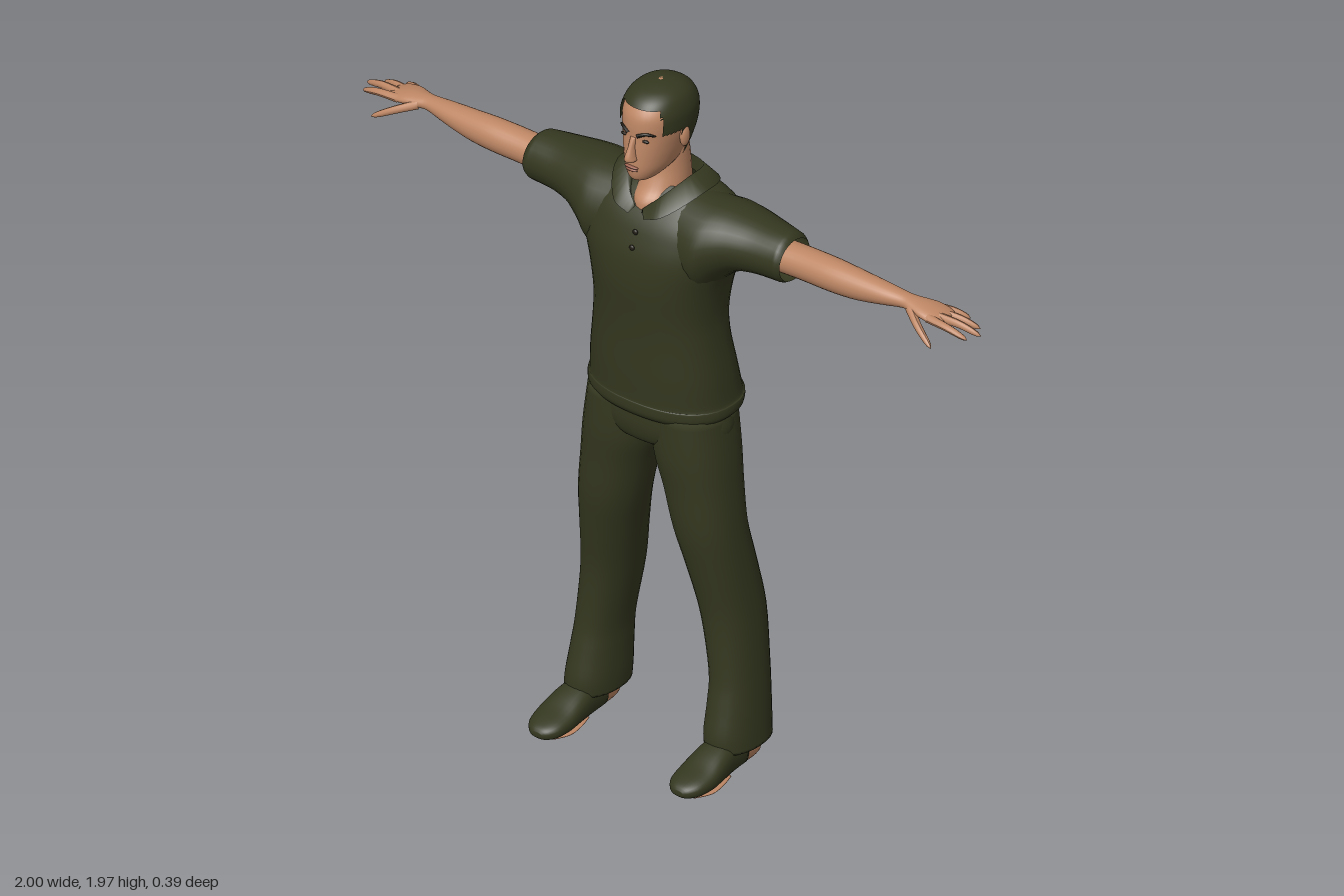
import * as THREE from 'three';

const mat = (name, color, side = THREE.FrontSide) =>
  Object.assign(new THREE.MeshStandardMaterial({ color, side }), { name });

// Smooth skin over elliptical sections. Row: [t, aMin, aMax, bMin, bMax].
// Axis y: a = x, b = z. Axis x: a = y, b = z. Axis z: a = x, b = y.
function loft(axis, rows, { n = 28, sub = 4, power = 2, start = true, end = true, grow = 0, keep = null } = {}) {
  const pos = [], index = [], rings = (rows.length - 1) * sub + 1;
  const put = (t, a, b) => pos.push(...(axis === 'y' ? [a, t, b] : axis === 'x' ? [t, a, b] : [a, b, t]));
  const sample = (k) => {
    const i = Math.min(Math.floor(k / sub), rows.length - 2), u = k / sub - i;
    const at = (m) => rows[Math.max(0, Math.min(rows.length - 1, m))];
    return rows[0].map((_, c) => {
      const [p, q, r, s] = [at(i - 1)[c], at(i)[c], at(i + 1)[c], at(i + 2)[c]];
      return q + 0.5 * u * (r - p + u * (2 * p - 5 * q + 4 * r - s + u * (3 * (q - r) + s - p)));
    });
  };
  const bend = (v) => Math.sign(v) * Math.abs(v) ** (2 / power);
  for (let k = 0; k < rings; k++) {
    const [t, a0, a1, b0, b1] = sample(k);
    for (let j = 0; j < n; j++) {
      const th = (j / n) * Math.PI * 2;
      put(t, (a0 + a1) / 2 + ((a1 - a0) / 2 + grow) * bend(Math.cos(th)),
        (b0 + b1) / 2 + ((b1 - b0) / 2 + grow) * bend(Math.sin(th)));
    }
  }
  const mid = (r) => put(r[0], (r[1] + r[2]) / 2, (r[3] + r[4]) / 2);
  mid(rows[0]);
  mid(rows[rows.length - 1]);
  const tri = (a, b, c) => {
    if (keep) {
      const m = [0, 1, 2].map((q) => (pos[a * 3 + q] + pos[b * 3 + q] + pos[c * 3 + q]) / 3);
      if (!keep(...m)) return;
    }
    index.push(...(axis === 'y' ? [a, b, c] : [a, c, b]));
  };
  for (let j = 0; j < n; j++) {
    const j2 = (j + 1) % n, last = (rings - 1) * n;
    for (let k = 0; k < rings - 1; k++) {
      const a = k * n + j, d = k * n + j2;
      tri(a, a + n, d);
      tri(a + n, d + n, d);
    }
    if (start) tri(rings * n, j, j2);
    if (end) tri(rings * n + 1, last + j2, last + j);
  }
  return finish(pos, index);
}

function finish(pos, index) {
  const g = new THREE.BufferGeometry();
  g.setAttribute('position', new THREE.Float32BufferAttribute(pos, 3));
  g.setIndex(index);
  g.computeVertexNormals();
  return g;
}

// Rows symmetric about x = 0: [y, halfWidth, front, back]
const sym = (rows) => rows.map(([y, r, f, b]) => [y, -r, r, b, f]);

// Round tapered tube, closed to a rounded tip
function taper(points, r0, r1) {
  const curve = new THREE.CatmullRomCurve3(points.map((p) => new THREE.Vector3(...p)));
  const seg = 12, sides = 10, g = new THREE.TubeGeometry(curve, seg, 1, sides);
  const p = g.attributes.position, v = new THREE.Vector3();
  for (let i = 0; i < p.count; i++) {
    const u = Math.floor(i / (sides + 1)) / seg, c = curve.getPointAt(u);
    const r = (r0 + (r1 - r0) * u) * Math.sqrt(Math.max(0, 1 - u ** 8));
    v.fromBufferAttribute(p, i).sub(c).multiplyScalar(r).add(c);
    p.setXYZ(i, v.x, v.y, v.z);
  }
  g.computeVertexNormals();
  return g;
}

// Surface stretched between smooth rails
function strip(rails, seg = 20) {
  const pos = [], index = [], w = seg + 1;
  for (const r of rails) {
    new THREE.CatmullRomCurve3(r.map((p) => new THREE.Vector3(...p))).getPoints(seg).forEach((p) => pos.push(p.x, p.y, p.z));
  }
  for (let k = 0; k < rails.length - 1; k++) for (let i = 0; i < seg; i++) {
    const a = k * w + i;
    index.push(a, a + w, a + 1, a + w, a + w + 1, a + 1);
  }
  return finish(pos, index);
}

function mirrored(g) {
  const m = g.clone().scale(-1, 1, 1), ix = m.index.array;
  for (let i = 0; i < ix.length; i += 3) [ix[i], ix[i + 1]] = [ix[i + 1], ix[i]];
  return m;
}

function ball(x, y, z, sx, sy, sz) {
  return new THREE.SphereGeometry(1, 16, 12).scale(sx, sy, sz).translate(x, y, z);
}

export function createModel() {
  const model = new THREE.Group();
  const cloth = mat('darkOlive', 0x34371f, THREE.DoubleSide);
  const skin = mat('skin', 0xbd8664);
  const lip = mat('lip', 0x9c6250);
  const dark = mat('darkBrown', 0x211c14);
  const add = (name, g, m) => {
    const mesh = new THREE.Mesh(g, m);
    mesh.name = name;
    model.add(mesh);
  };
  const pair = (name, g, m) => {
    add(name + 'Left', g, m);
    add(name + 'Right', mirrored(g), m);
  };

  // Shirt
  add('shirtBody', loft('y', sym([
    [1.025, 0.2, 0.095, -0.165], [1.04, 0.216, 0.104, -0.186], [1.065, 0.217, 0.105, -0.194], [1.075, 0.211, 0.103, -0.189],
    [1.15, 0.203, 0.106, -0.173], [1.25, 0.189, 0.108, -0.156], [1.33, 0.184, 0.113, -0.16],
    [1.42, 0.196, 0.12, -0.177], [1.5, 0.222, 0.115, -0.186], [1.56, 0.235, 0.097, -0.185], [1.6, 0.232, 0.078, -0.175],
    [1.635, 0.205, 0.052, -0.158], [1.66, 0.155, 0.03, -0.142], [1.68, 0.09, 0.01, -0.128],
  ]), { n: 40, power: 2.3, start: false, end: false }), cloth);
  pair('sleeve', loft('x', [
    [0.1, 1.4, 1.672, -0.15, 0.075], [0.17, 1.41, 1.668, -0.165, 0.085], [0.21, 1.455, 1.667, -0.162, 0.072],
    [0.26, 1.493, 1.662, -0.15, 0.052], [0.32, 1.507, 1.656, -0.135, 0.036], [0.385, 1.511, 1.652, -0.118, 0.028],
    [0.405, 1.513, 1.648, -0.114, 0.027], [0.418, 1.52, 1.636, -0.106, 0.02],
  ], { start: false, end: false }), cloth);
  pair('collar', strip([
    [[0.008, 1.615, 0.068], [0.045, 1.65, 0.045], [0.076, 1.675, -0.02], [0.07, 1.675, -0.085], [0, 1.67, -0.125]],
    [[0.012, 1.63, 0.07], [0.055, 1.672, 0.045], [0.093, 1.715, -0.02], [0.085, 1.715, -0.09], [0, 1.702, -0.132]],
    [[0.025, 1.61, 0.084], [0.075, 1.628, 0.078], [0.14, 1.682, -0.02], [0.12, 1.675, -0.115], [0, 1.66, -0.166]],
  ]), cloth);
  for (const [y, z] of [[1.57, 0.094], [1.53, 0.108]]) add('button', ball(0.008, y, z, 0.008, 0.008, 0.005), dark);

  // Trousers
  add('hips', loft('y', sym([
    [0.915, 0.09, 0.03, -0.1], [0.94, 0.17, 0.075, -0.135], [0.98, 0.212, 0.09, -0.15], [1.03, 0.208, 0.092, -0.158], [1.07, 0.19, 0.09, -0.15],
  ])), cloth);
  pair('trouserLeg', loft('y', [
    [0.075, 0.157, 0.299, -0.155, 0.052], [0.12, 0.155, 0.296, -0.157, 0.052], [0.2, 0.156, 0.289, -0.159, 0.035],
    [0.28, 0.152, 0.282, -0.161, 0.022], [0.44, 0.122, 0.268, -0.167, 0.022], [0.58, 0.092, 0.256, -0.146, 0.045],
    [0.7, 0.062, 0.245, -0.126, 0.067], [0.82, 0.033, 0.233, -0.13, 0.076], [0.92, 0.004, 0.223, -0.14, 0.085], [1.04, 0.004, 0.205, -0.145, 0.085],
  ], { power: 2.2 }), cloth);

  // Shoes with exposed heels and soles
  pair('shoe', loft('z', [
    [-0.04, 0.185, 0.272, 0.006, 0.1], [0.02, 0.18, 0.278, 0.006, 0.105], [0.07, 0.176, 0.285, 0.006, 0.092],
    [0.12, 0.174, 0.288, 0.006, 0.07], [0.165, 0.18, 0.28, 0.008, 0.056], [0.19, 0.197, 0.262, 0.012, 0.045], [0.2, 0.215, 0.245, 0.02, 0.034],
  ], { power: 2.4 }), cloth);
  pair('heel', loft('z', [
    [-0.118, 0.215, 0.245, 0.02, 0.06], [-0.105, 0.198, 0.26, 0.003, 0.09], [-0.06, 0.192, 0.266, 0, 0.1], [-0.02, 0.195, 0.264, 0.006, 0.095],
  ]), skin);
  pair('sole', loft('z', [
    [0.02, 0.2, 0.262, 0, 0.008], [0.07, 0.186, 0.276, 0, 0.009], [0.12, 0.183, 0.279, 0, 0.009], [0.165, 0.2, 0.26, 0.003, 0.012],
  ]), skin);

  // Arms and hands
  pair('arm', loft('x', [
    [0.34, 1.53, 1.618, -0.095, 0], [0.45, 1.534, 1.622, -0.094, -0.002], [0.55, 1.537, 1.625, -0.09, 0],
    [0.63, 1.542, 1.621, -0.086, -0.006], [0.71, 1.556, 1.614, -0.083, -0.017], [0.77, 1.567, 1.607, -0.08, -0.029],
    [0.8, 1.567, 1.604, -0.087, -0.026], [0.84, 1.564, 1.599, -0.103, -0.02], [0.875, 1.56, 1.59, -0.108, -0.022], [0.9, 1.562, 1.58, -0.1, -0.032],
  ]), skin);
  for (const [name, pts] of [
    ['indexFinger', [[0.86, 1.577, -0.033], [0.93, 1.572, -0.031], [0.984, 1.555, -0.038]]],
    ['middleFinger', [[0.87, 1.577, -0.055], [0.94, 1.573, -0.064], [1, 1.555, -0.075]]],
    ['ringFinger', [[0.86, 1.575, -0.077], [0.92, 1.568, -0.094], [0.97, 1.55, -0.11]]],
    ['littleFinger', [[0.84, 1.574, -0.094], [0.88, 1.566, -0.116], [0.918, 1.55, -0.135]]],
    ['thumb', [[0.8, 1.582, -0.035], [0.85, 1.562, -0.004], [0.912, 1.53, 0.02]]],
  ]) pair(name, taper(pts, 0.0125, 0.008), skin);

  // Neck and head
  add('neck', loft('y', sym([
    [1.58, 0.07, 0.06, -0.12], [1.635, 0.066, 0.062, -0.124], [1.67, 0.063, 0.037, -0.118], [1.72, 0.06, 0.016, -0.112], [1.79, 0.058, 0.01, -0.1],
  ])), skin);
  const skull = sym([
    [1.718, 0.022, 0.08, 0.01], [1.728, 0.036, 0.094, -0.03], [1.755, 0.055, 0.1, -0.08], [1.79, 0.066, 0.099, -0.102],
    [1.82, 0.073, 0.097, -0.115], [1.85, 0.079, 0.094, -0.123], [1.88, 0.082, 0.094, -0.126], [1.91, 0.081, 0.088, -0.122],
    [1.94, 0.07, 0.068, -0.106], [1.958, 0.052, 0.042, -0.083], [1.968, 0.028, 0.01, -0.055], [1.972, 0.006, -0.015, -0.03],
  ]);
  add('head', loft('y', skull, { n: 40, power: 2.15 }), skin);
  const hairline = (x, y, z) => y > 1.93 || (z < 0.058 && y > 1.862) || (z < 0.0 && y > 1.845) || (z < -0.032 && y > 1.765);
  add('hair', loft('y', skull, { n: 56, sub: 6, power: 2.15, grow: 0.006, keep: hairline }), cloth);

  // Face
  add('nose', loft('y', sym([
    [1.783, 0.01, 0.112, 0.08], [1.79, 0.016, 0.122, 0.08], [1.802, 0.013, 0.122, 0.08], [1.825, 0.009, 0.111, 0.08], [1.852, 0.009, 0.098, 0.08],
  ]), { n: 16 }), skin);
  add('upperLip', ball(0, 1.766, 0.1, 0.022, 0.004, 0.007), lip);
  add('lowerLip', ball(0, 1.758, 0.099, 0.019, 0.005, 0.007), lip);
  pair('eyebrow', taper([[0.014, 1.859, 0.094], [0.036, 1.868, 0.087], [0.058, 1.862, 0.069]], 0.0055, 0.003), dark);
  pair('eye', ball(0.033, 1.846, 0.085, 0.012, 0.0045, 0.005), dark);
  pair('ear', ball(0.082, 1.835, -0.016, 0.011, 0.03, 0.017).rotateX(0), skin);
  return model;
}
